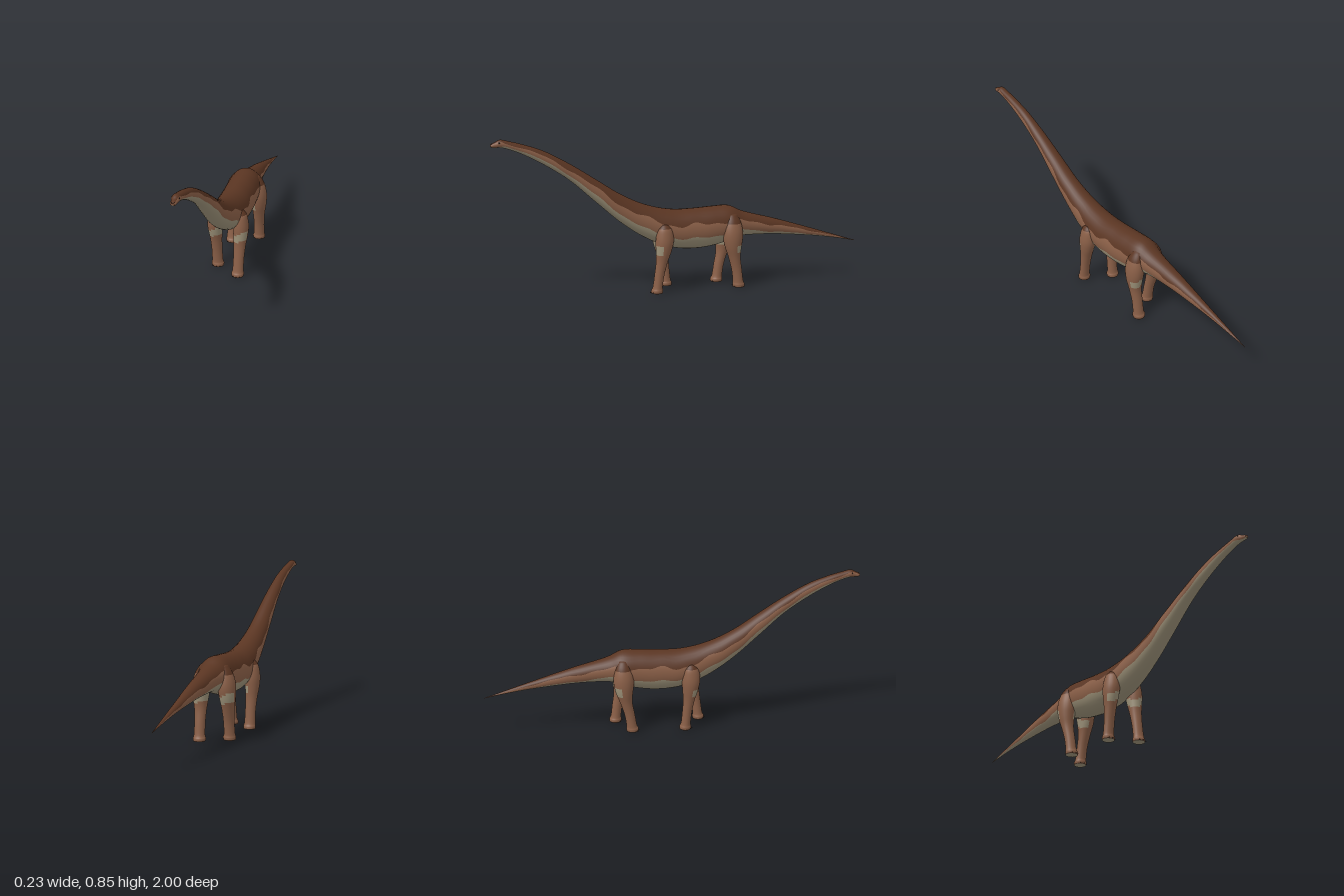
import * as THREE from 'three';

const flat = (name, color) => {
  const m = new THREE.MeshStandardMaterial({ color });
  m.name = name;
  return m;
};

// Sample a table of rows [s, a, b, ...] smoothly, every column sharing one parameter
function sampleRows(rows, steps) {
  const columns = rows[0].map((_, c) => new THREE.SplineCurve(rows.map((r) => new THREE.Vector2(r[0], r[c]))));
  return Array.from({ length: steps + 1 }, (_, i) => columns.map((curve) => curve.getPoint(i / steps).y));
}

// Skin closed rings of points; pick(i, j) chooses the material of each quad
function skin(name, rings, materials, pick) {
  const n = rings[0].length;
  const buckets = materials.map(() => []);
  for (let i = 0; i < rings.length - 1; i++) {
    for (let j = 0; j < n; j++) {
      const k = (j + 1) % n;
      const a = i * n + j, b = i * n + k, c = (i + 1) * n + k, d = (i + 1) * n + j;
      buckets[pick(i, j)].push(a, b, c, a, c, d);
    }
  }
  const geometry = new THREE.BufferGeometry();
  geometry.setAttribute('position', new THREE.Float32BufferAttribute(rings.flat(2), 3));
  geometry.setIndex(buckets.flat());
  let start = 0;
  buckets.forEach((bucket, m) => {
    geometry.addGroup(start, bucket.length, m);
    start += bucket.length;
  });
  geometry.computeVertexNormals();
  const mesh = new THREE.Mesh(geometry, materials);
  mesh.name = name;
  return mesh;
}

// Rows from tail tip to muzzle: z, top, bottom, half width
const BODY = [
  [-1, 0.196, 0.194, 0.001], [-0.86, 0.243, 0.222, 0.011], [-0.715, 0.291, 0.244, 0.022],
  [-0.53, 0.35, 0.264, 0.04], [-0.4, 0.386, 0.27, 0.054], [-0.33, 0.408, 0.268, 0.066],
  [-0.26, 0.44, 0.248, 0.084], [-0.17, 0.44, 0.226, 0.09], [-0.06, 0.435, 0.217, 0.091],
  [0.06, 0.438, 0.232, 0.088], [0.195, 0.47, 0.288, 0.075], [0.33, 0.533, 0.38, 0.06],
  [0.465, 0.622, 0.5, 0.049], [0.6, 0.71, 0.622, 0.038], [0.73, 0.782, 0.71, 0.03],
  [0.84, 0.822, 0.77, 0.025], [0.91, 0.841, 0.799, 0.022], [0.95, 0.85, 0.809, 0.021],
  [0.975, 0.839, 0.81, 0.016], [0.99, 0.833, 0.811, 0.014], [1, 0.828, 0.815, 0.009],
];

function buildBody(materials) {
  const DARK = 6, MID = 4, HALF = 16;
  const sections = sampleRows(BODY, 120);
  const rings = sections.map(([z, top, bottom, half]) => {
    // Wavy borders between back, flank and belly colours
    const wave = 0.1 * Math.sin(z * 23) + 0.06 * Math.sin(z * 51 + 1);
    const head = THREE.MathUtils.smoothstep(z, 0.92, 0.97);
    const tail = 1 - THREE.MathUtils.smoothstep(z, -0.5, -0.3);
    const upper = 1.25 + wave - 0.4 * head;
    const lower = 1.93 + 0.6 * wave + 0.25 * tail + 0.6 * head;
    const angles = [];
    for (let j = 0; j <= HALF; j++) {
      if (j <= DARK) angles.push((upper * j) / DARK);
      else if (j <= DARK + MID) angles.push(upper + ((lower - upper) * (j - DARK)) / MID);
      else angles.push(lower + ((Math.PI - lower) * (j - DARK - MID)) / (HALF - DARK - MID));
    }
    for (let j = HALF - 1; j > 0; j--) angles.push(2 * Math.PI - angles[j]);
    const cy = (top + bottom) / 2, ry = (top - bottom) / 2;
    return angles.map((t) => [-half * Math.sin(t), cy + ry * Math.cos(t), z]);
  });
  // Close the muzzle and the tail tip
  const end = (s) => rings[0].map(() => [0, (s[1] + s[2]) / 2, s[0]]);
  rings.unshift(end(sections[0]));
  rings.push(end(sections.at(-1)));
  return skin('body', rings, materials, (i, j) => {
    const k = j < HALF ? j : 2 * HALF - 1 - j;
    return k < DARK ? 0 : k < DARK + MID ? 1 : 2;
  });
}

// Leg rows from sole to top: y, x, z shift factor of the foot, x radius, z radius
const FRONT = [
  [0.003, 0.067, 1, 0.032, 0.031], [0.018, 0.067, 0.98, 0.034, 0.031], [0.035, 0.068, 0.92, 0.03, 0.026],
  [0.1, 0.069, 0.7, 0.029, 0.026], [0.17, 0.071, 0.4, 0.032, 0.031], [0.225, 0.073, 0.18, 0.038, 0.041],
  [0.275, 0.073, 0.05, 0.042, 0.048], [0.32, 0.071, 0, 0.039, 0.045], [0.352, 0.069, 0, 0.032, 0.036],
  [0.372, 0.066, 0, 0.018, 0.02],
];
const HIND = [
  [0.003, 0.067, 1, 0.032, 0.032], [0.018, 0.067, 0.98, 0.034, 0.033], [0.035, 0.068, 0.9, 0.03, 0.028],
  [0.1, 0.069, 0.65, 0.029, 0.028], [0.17, 0.071, 0.25, 0.033, 0.033], [0.225, 0.072, 0.05, 0.041, 0.045],
  [0.275, 0.07, 0, 0.046, 0.054], [0.32, 0.067, 0, 0.044, 0.053], [0.365, 0.06, 0, 0.036, 0.043],
  [0.4, 0.05, 0, 0.022, 0.026],
];

function buildLeg(name, rows, side, hipZ, footZ, materials, nail) {
  const N = 24, front = rows === FRONT;
  const group = new THREE.Group();
  group.name = name;
  const sections = sampleRows(rows, 36);
  const rings = sections.map(([y, x, f, rx, rz]) => Array.from({ length: N }, (_, j) => {
    const t = (j / N) * 2 * Math.PI;
    return [side * x + rx * Math.sin(t), y, hipZ + (footZ - hipZ) * f + rz * Math.cos(t)];
  }));
  // Close the sole and the top
  rings.unshift(rings[0].map(() => [side * 0.067, 0.001, footZ]));
  rings.push(rings[0].map(() => [side * rows.at(-1)[1], rows.at(-1)[0] + 0.008, hipZ]));
  group.add(skin('leg', rings, materials, (i, j) => {
    const y = (rings[i][0][1] + rings[i + 1][0][1]) / 2;
    const t = ((j + 0.5) / N) * 2 * Math.PI;
    const inward = -side * Math.sin(t), facing = Math.cos(t) * (front ? 1 : -1);
    if (y > (front ? 0.355 : 0.35)) return 0;
    const rim = 0.012 * Math.sin(2 * t);
    const pale = y > 0.205 + rim && y < 0.25 + rim && (inward > 0.3 || facing > 0.25);
    return pale || y < 0.003 ? 2 : 1;
  }));
  // Three small claws along the front of the foot
  for (const a of [-0.6, 0, 0.6]) {
    const claw = new THREE.Mesh(new THREE.ConeGeometry(0.005, 0.014, 8), nail);
    claw.name = 'claw';
    claw.rotation.set(Math.PI / 2 + 0.25, 0, -a);
    claw.position.set(side * 0.067 + 0.033 * Math.sin(a), 0.007, footZ + 0.032 * Math.cos(a));
    group.add(claw);
  }
  return group;
}

export function createModel() {
  const model = new THREE.Group();
  model.name = 'longNeckedDinosaur';
  const hide = [flat('darkBack', 0x5a3522), flat('brownFlank', 0x8a5f47), flat('paleBelly', 0x9d9279)];
  const black = flat('clawAndEye', 0x2a1b14);

  model.add(buildBody(hide));
  model.add(buildLeg('frontLegLeft', FRONT, 1, 0.112, 0.155, hide, black));
  model.add(buildLeg('frontLegRight', FRONT, -1, 0.1, 0.07, hide, black));
  model.add(buildLeg('hindLegLeft', HIND, 1, -0.265, -0.3, hide, black));
  model.add(buildLeg('hindLegRight', HIND, -1, -0.258, -0.215, hide, black));

  // Eyes and nostrils
  for (const side of [-1, 1]) {
    const eye = new THREE.Mesh(new THREE.SphereGeometry(0.004, 12, 8), black);
    eye.name = 'eye';
    eye.position.set(side * 0.0175, 0.835, 0.956);
    const nostril = new THREE.Mesh(new THREE.SphereGeometry(0.002, 8, 6), black);
    nostril.name = 'nostril';
    nostril.position.set(side * 0.006, 0.83, 0.993);
    model.add(eye, nostril);
  }
  return model;
}
